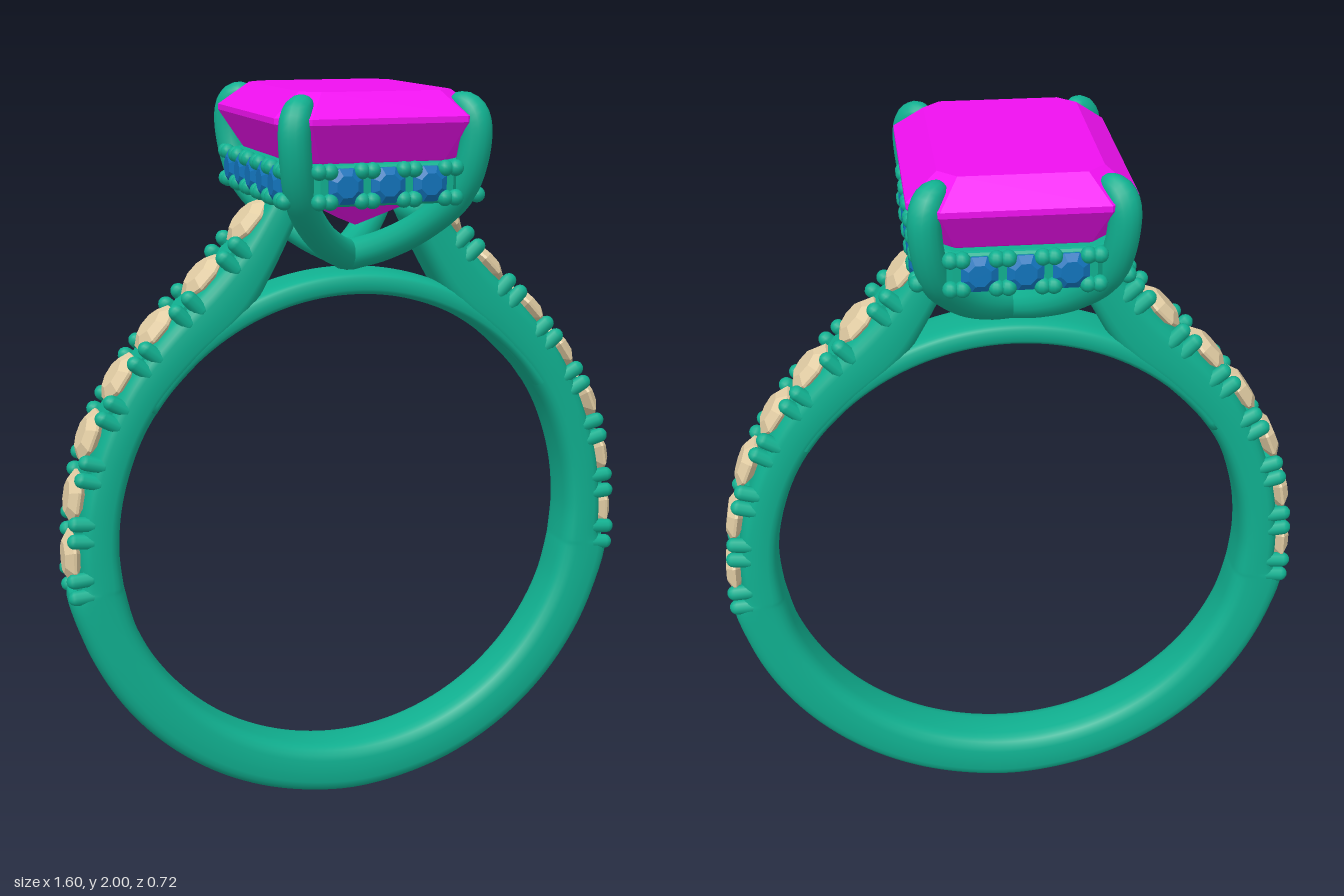
import * as THREE from 'three';

const V = (x, y, z = 0) => new THREE.Vector3(x, y, z);
const mat = (color, flat = false) => new THREE.MeshStandardMaterial({ color, flatShading: flat });
const metal = mat(0x10b090), gemMat = mat(0xf010f0, true), blue = mat(0x1274bc, true), cream = mat(0xe2cda4, true);

// Skin a list of closed cross-sections, closing both ends
function loft(sections, flat = false) {
  const centre = (r) => r.reduce((s, p) => s.add(p), V(0, 0, 0)).divideScalar(r.length);
  const cap = (r) => r.map(() => centre(r));
  const rings = [cap(sections[0]), ...sections, cap(sections[sections.length - 1])];
  const n = sections[0].length, index = [];
  for (let i = 0; i < rings.length - 1; i++) {
    for (let j = 0; j < n; j++) {
      const a = i * n + j, b = i * n + (j + 1) % n;
      if (i < rings.length - 2) index.push(a, b, a + n);
      if (i > 0) index.push(b, b + n, a + n);
      else index.push(b, b + n, a + n);
    }
  }
  let geo = new THREE.BufferGeometry().setFromPoints(rings.flat());
  geo.setIndex(index);
  if (flat) geo = geo.toNonIndexed();
  geo.computeVertexNormals();
  return geo;
}

// Rounded band section spanning from an inner to an outer point
function bandSection(outer, inner, halfWidth) {
  const mid = outer.clone().add(inner).multiplyScalar(0.5), d = outer.clone().sub(mid), pts = [];
  const soft = (v) => Math.sign(v) * Math.abs(v) ** 0.6;
  for (let k = 0; k < 24; k++) {
    const a = k / 24 * Math.PI * 2;
    pts.push(mid.clone().addScaledVector(d, soft(Math.cos(a))).add(V(0, 0, halfWidth * soft(Math.sin(a)))));
  }
  return pts;
}

const polar = (r, deg) => V(r * Math.cos(deg * Math.PI / 180), 0.8 + r * Math.sin(deg * Math.PI / 180));

// Rectangle with cut corners, in the horizontal plane
function cutRect(hx, hz, c, y) {
  return [[hx, c - hz], [hx, hz - c], [hx - c, hz], [c - hx, hz],
    [-hx, hz - c], [-hx, c - hz], [c - hx, -hz], [hx - c, -hz]].map(([x, z]) => V(x, y, z));
}

// Small round-cut stone, its table facing +y
function stone(r) {
  return new THREE.LatheGeometry([[0, -0.6], [1, -0.06], [1, 0.04], [0.6, 0.3], [0, 0.3]]
    .map(([x, y]) => new THREE.Vector2(x * r, y * r)), 8);
}

export function createModel() {
  const model = new THREE.Group();
  const add = (name, geo, material, parent = model) => {
    const m = new THREE.Mesh(geo, material);
    m.name = name;
    parent.add(m);
    return m;
  };

  // Shank: paired outer and inner points down the right side, mirrored to the left
  const half = [
    [0.22, 1.73, 0.14, 1.68], [0.30, 1.61, 0.22, 1.52], [0.385, 1.515, 0.295, 1.40],
    [0.51, 1.39, 0.42, 1.295], [0.62, 1.255, 0.52, 1.19], [0.70, 1.09, 0.585, 1.085],
    [0.745, 0.94, 0.635, 0.935], [0.76, 0.8, 0.65, 0.8], [0.765, 0.695, 0.642, 0.70],
    [0.787, 0.675, 0.638, 0.68]].map(([a, b, c, d]) => [V(a, b), V(c, d)]);
  for (let a = -20; a > -90; a -= 10) half.push([polar(0.798, a), polar(0.652, a)]);
  const mirror = (p) => V(-p.x, p.y);
  const pairs = [...half, [V(0, 0), V(0, 0.148)], ...half.map((p) => p.map(mirror)).reverse()];
  const outer = new THREE.CatmullRomCurve3(pairs.map((p) => p[0]));
  const inner = new THREE.CatmullRomCurve3(pairs.map((p) => p[1]));
  const sections = [];
  for (let i = 0; i <= 170; i++) sections.push(bandSection(outer.getPoint(i / 170), inner.getPoint(i / 170), 0.084));
  add('shank', loft(sections), metal);

  // Bridge closing the finger hole under the head
  const arc = [];
  for (let a = 146; a >= 34; a -= 2) arc.push(bandSection(polar(0.718, a), polar(0.651, a), 0.08));
  add('bridge', loft(arc), metal);

  // Shoulder stones with four-bead settings between them
  const spots = [[0.275, 1.655], [0.40, 1.515], [0.53, 1.385], [0.63, 1.26], [0.715, 1.11],
    [0.76, 0.945], [0.775, 0.78], [0.765, 0.63]].map(([x, y]) => V(x, y));
  const shoulderStone = stone(0.075);
  const bead = new THREE.CapsuleGeometry(0.021, 0.045, 4, 10);
  const bar = new THREE.BoxGeometry(0.06, 0.05, 0.11);
  for (const side of [1, -1]) {
    const shoulder = new THREE.Group();
    shoulder.name = side > 0 ? 'leftShoulderSetting' : 'rightShoulderSetting';
    shoulder.rotation.y = side > 0 ? 0 : Math.PI;
    model.add(shoulder);
    for (let i = 0; i < 7; i++) {
      const p = spots[i], q = spots[i + 1];
      const prev = spots[Math.max(i - 1, 0)];
      const t = q.clone().sub(prev);
      const s = add('shoulderStone', shoulderStone, cream, shoulder);
      s.position.copy(p);
      s.rotation.z = Math.atan2(t.y, t.x);
      s.rotateY(Math.PI / 8);

      const seat = new THREE.Group();
      seat.name = 'beadSetting';
      seat.position.copy(p).add(q).multiplyScalar(0.5);
      if (i === 6) seat.position.x += 0.004;
      seat.rotation.z = Math.atan2(q.y - p.y, q.x - p.x);
      shoulder.add(seat);
      add('settingBar', bar, metal, seat).position.y = -0.03;
      for (const dx of [-0.024, 0.024]) {
        for (const dz of [-0.063, 0.063]) add('bead', bead, metal, seat).position.set(dx, -0.02, dz);
      }
    }
  }

  // Centre gem: stepped rectangle with cut corners and a keel
  add('centreGem', loft([
    cutRect(0.2, 0.28, 0.045, 2.0), cutRect(0.277, 0.354, 0.075, 1.94), cutRect(0.277, 0.354, 0.075, 1.925),
    cutRect(0.22, 0.295, 0.055, 1.83), cutRect(0.12, 0.2, 0.025, 1.71), cutRect(0.004, 0.08, 0.002, 1.645),
  ], true), gemMat);

  // Halo frame under the gem
  const flatPts = (hx, hz, c) => cutRect(hx, hz, c, 0).map((p) => new THREE.Vector2(p.x, p.z));
  const frame = new THREE.Shape(flatPts(0.238, 0.315, 0.07));
  frame.holes.push(new THREE.Path(flatPts(0.195, 0.27, 0.05).reverse()));
  const frameGeo = new THREE.ExtrudeGeometry(frame, {
    depth: 0.074, bevelThickness: 0.015, bevelSize: 0.015, bevelSegments: 3 });
  frameGeo.rotateX(Math.PI / 2);
  add('haloFrame', frameGeo, metal).position.y = 1.812;

  // Halo stones and beads on each of the four sides
  const haloStone = stone(0.048), haloBead = new THREE.SphereGeometry(0.021, 12, 8);
  for (let k = 0; k < 4; k++) {
    const row = new THREE.Group();
    row.name = 'haloRow';
    row.rotation.y = k * Math.PI / 2;
    model.add(row);
    const count = k % 2 ? 5 : 3, face = k % 2 ? 0.253 : 0.33;
    for (let i = 0; i <= count; i++) {
      const x = (i - count / 2) * 0.11;
      for (const dy of [-0.037, 0.037]) {
        add('haloBead', haloBead, metal, row).position.set(x - 0.014, 1.775 + dy, face + 0.003);
        add('haloBead', haloBead, metal, row).position.set(x + 0.014, 1.775 + dy, face + 0.003);
      }
      if (i === count) continue;
      const s = add('haloStone', haloStone, blue, row);
      s.position.set(x + 0.055, 1.775, face + 0.004);
      s.rotation.x = Math.PI / 2;
      s.rotateY(Math.PI / 8);
    }
  }

  // Four claws rising from the base and tapering over the gem corners
  for (const sx of [1, -1]) {
    for (const sz of [1, -1]) {
      const path = new THREE.CatmullRomCurve3([[0, 1.555, 0.02], [0.07, 1.59, 0.10], [0.145, 1.65, 0.19],
        [0.208, 1.735, 0.275], [0.232, 1.83, 0.313], [0.236, 1.92, 0.319], [0.222, 1.957, 0.303],
        [0.183, 1.978, 0.268]].map(([x, y, z]) => V(sx * x, y, sz * z)));
      const seg = 48, radial = 14, geo = new THREE.TubeGeometry(path, seg, 0.041, radial);
      const pos = geo.attributes.position, v = V(0, 0, 0);
      for (let i = 0; i < pos.count; i++) {
        const t = Math.floor(i / (radial + 1)) / seg, c = path.getPointAt(t);
        const taper = t < 0.86 ? 1 : Math.sqrt(Math.max(0, 1 - ((t - 0.86) / 0.14) ** 2));
        v.fromBufferAttribute(pos, i).sub(c).multiplyScalar(taper).add(c);
        pos.setXYZ(i, v.x, Math.min(v.y, 2), v.z);
      }
      geo.computeVertexNormals();
      add('claw', geo, metal);
    }
  }
  add('clawJoint', new THREE.SphereGeometry(0.045, 16, 12), metal).position.y = 1.555;

  return model;
}
